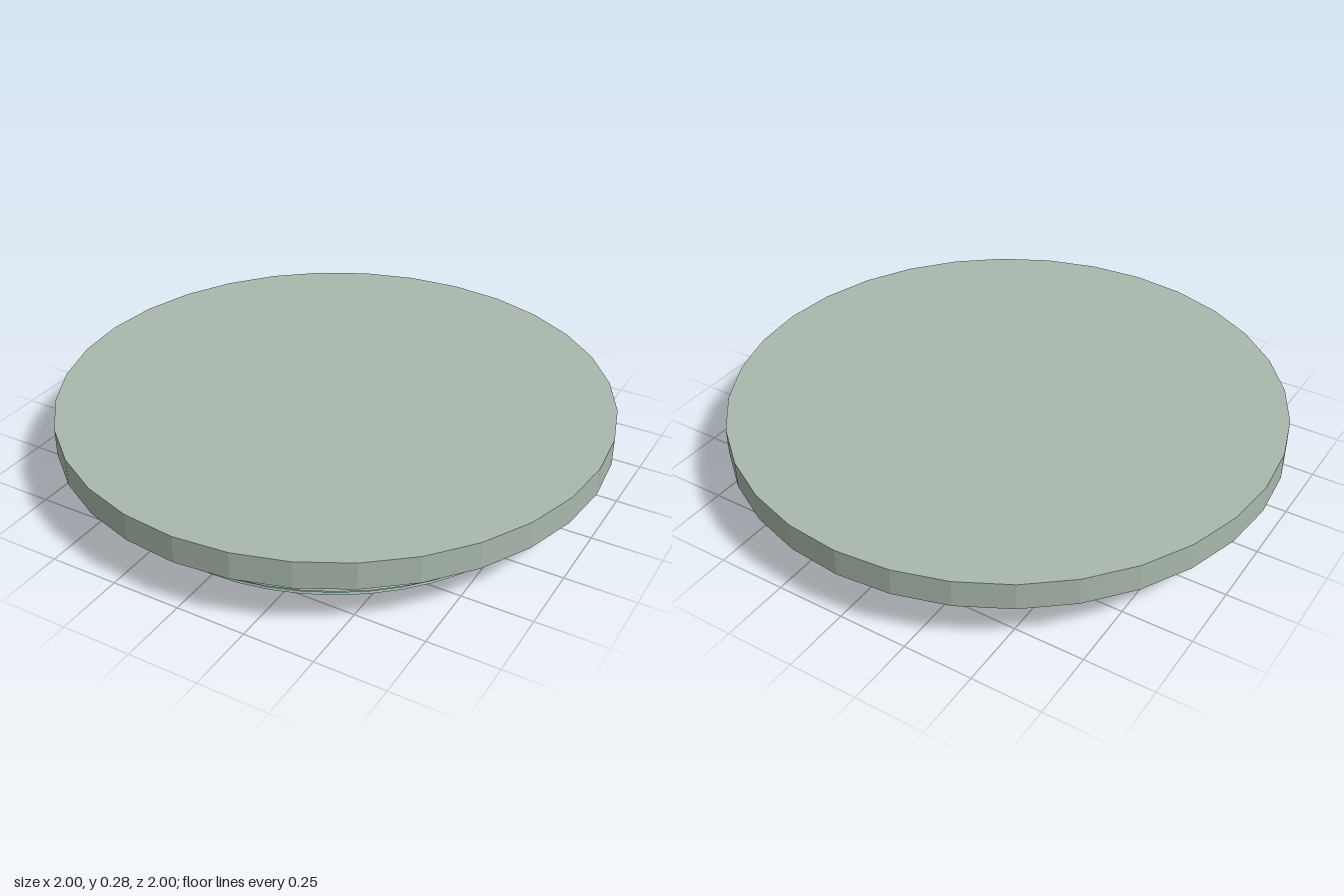
import * as THREE from 'three';

const material = (name, color) => {
  const m = new THREE.MeshStandardMaterial({ color, flatShading: true });
  m.name = name;
  return m;
};

// Solid disc between two heights
function disc(name, radius, bottom, top, sides, mat) {
  const mesh = new THREE.Mesh(new THREE.CylinderGeometry(radius, radius, top - bottom, sides), mat);
  mesh.position.y = (top + bottom) / 2;
  mesh.name = name;
  return mesh;
}

// Ring with a rectangular cross-section, closed on all four sides
function ring(name, inner, outer, bottom, top, sides, mat) {
  const profile = [[inner, bottom], [outer, bottom], [outer, top], [inner, top], [inner, bottom]]
    .map(([x, y]) => new THREE.Vector2(x, y));
  const mesh = new THREE.Mesh(new THREE.LatheGeometry(profile, sides), mat);
  mesh.name = name;
  return mesh;
}

export function createModel() {
  const group = new THREE.Group();
  group.name = 'layeredDisc';

  const sage = material('sage grey', 0xa9b8ad);
  const stone = material('warm stone', 0xd6cec2);
  const teal = material('teal', 0x78d6d0);
  const mist = material('pale blue grey', 0xb9d0cc);
  const slate = material('slate', 0x66737e);

  group.add(
    // Wide top plate
    disc('topPlate', 1, 0.18, 0.28, 32, sage),
    // Stepped rings hanging below it
    ring('stoneRing', 0.56, 0.87, 0.068, 0.16, 48, stone),
    ring('tealRing', 0.61, 0.83, 0.031, 0.065, 48, teal),
    ring('bottomRing', 0.62, 0.82, 0.013, 0.025, 48, mist),
    // Small central hub
    disc('hub', 0.27, 0, 0.066, 32, slate),
  );
  return group;
}
